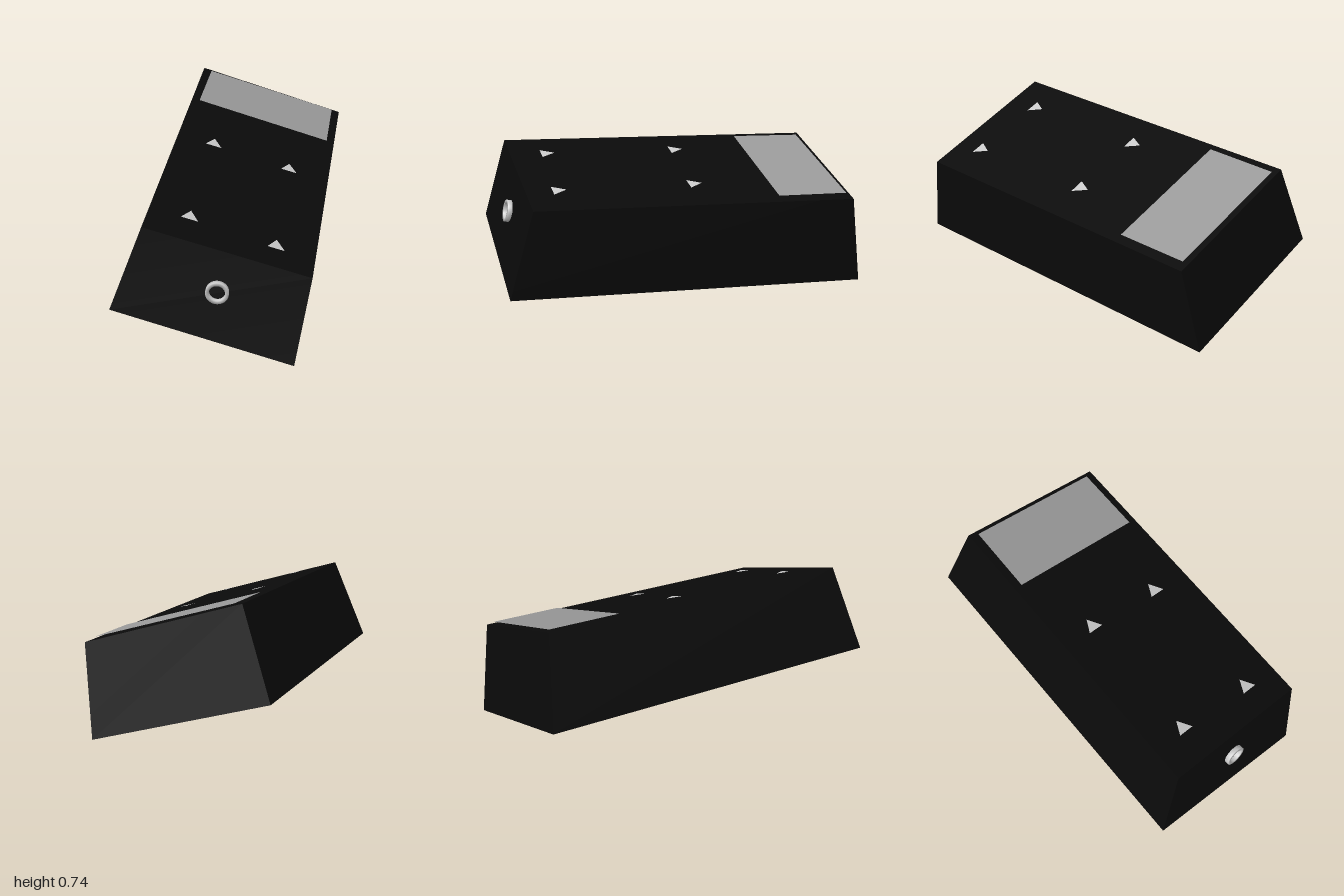
import * as THREE from 'three';

const material = (color) => new THREE.MeshStandardMaterial({ color, side: THREE.DoubleSide });

export function createModel() {
  const model = new THREE.Group();
  const add = (name, geometry, mat) => {
    const mesh = new THREE.Mesh(geometry, mat);
    mesh.name = name;
    model.add(mesh);
    return mesh;
  };
  const casing = material(0x0a0a0a);
  const glass = material(0x9b9b9b);
  const grey = material(0xcccccc);

  // Tilted casing: a box whose corners (right/left, bottom/top, back/front) taper towards the top
  const corners = {
    '000': [-0.39, 0.245, -1.0], '100': [0.525, 0, -0.895],
    '010': [-0.235, 0.7, -0.91], '110': [0.585, 0.47, -0.81],
    '001': [-0.59, 0.29, 0.9], '101': [0.325, 0.045, 1.0],
    '011': [-0.42, 0.735, 0.82], '111': [0.4, 0.51, 0.89],
  };
  const box = new THREE.BoxGeometry(1, 1, 1);
  const pos = box.attributes.position;
  for (let i = 0; i < pos.count; i++) {
    const key = [pos.getX(i), pos.getY(i), pos.getZ(i)].map((v) => (v > 0 ? 1 : 0)).join('');
    pos.setXYZ(i, ...corners[key]);
  }
  box.computeVertexNormals();
  add('casing', box, casing);

  // Flat patches lying just above the sloped top, given by their x and z
  const topHeight = (x, z) => 0.744 - 0.2736 * (x + 0.42) - 0.009 * (z - 0.82);
  const patch = (name, outline, mat) => {
    const points = outline.map(([x, z]) => new THREE.Vector3(x, topHeight(x, z), z));
    const geometry = new THREE.BufferGeometry().setFromPoints(points);
    geometry.setIndex(points.length === 4 ? [0, 1, 2, 0, 2, 3] : [0, 1, 2]);
    geometry.computeVertexNormals();
    add(name, geometry, mat);
  };
  patch('screen', [[-0.235, -0.495], [0.5, -0.41], [0.54, -0.79], [-0.19, -0.88]], glass);

  // Four triangular pointers
  for (const [x, z] of [[-0.2, 0.6], [0.225, 0.665], [-0.125, -0.12], [0.285, -0.06]]) {
    patch('pointer', [[x, z], [x - 0.045, z + 0.07], [x + 0.04, z + 0.077]], grey);
  }

  // Socket ring standing out of the front face
  const profile = [[0.04, -0.01], [0.058, -0.01], [0.058, 0.024], [0.04, 0.024], [0.04, -0.01]]
    .map(([r, h]) => new THREE.Vector2(r, h));
  const ringGeometry = new THREE.LatheGeometry(profile, 32);
  const ring = add('socketRing', ringGeometry, grey);
  const outward = new THREE.Vector3(-0.0326, 0.192, 1).normalize();
  ring.quaternion.setFromUnitVectors(new THREE.Vector3(0, 1, 0), outward);
  ring.position.set(-0.057, 0.417, 0.893);

  return model;
}
